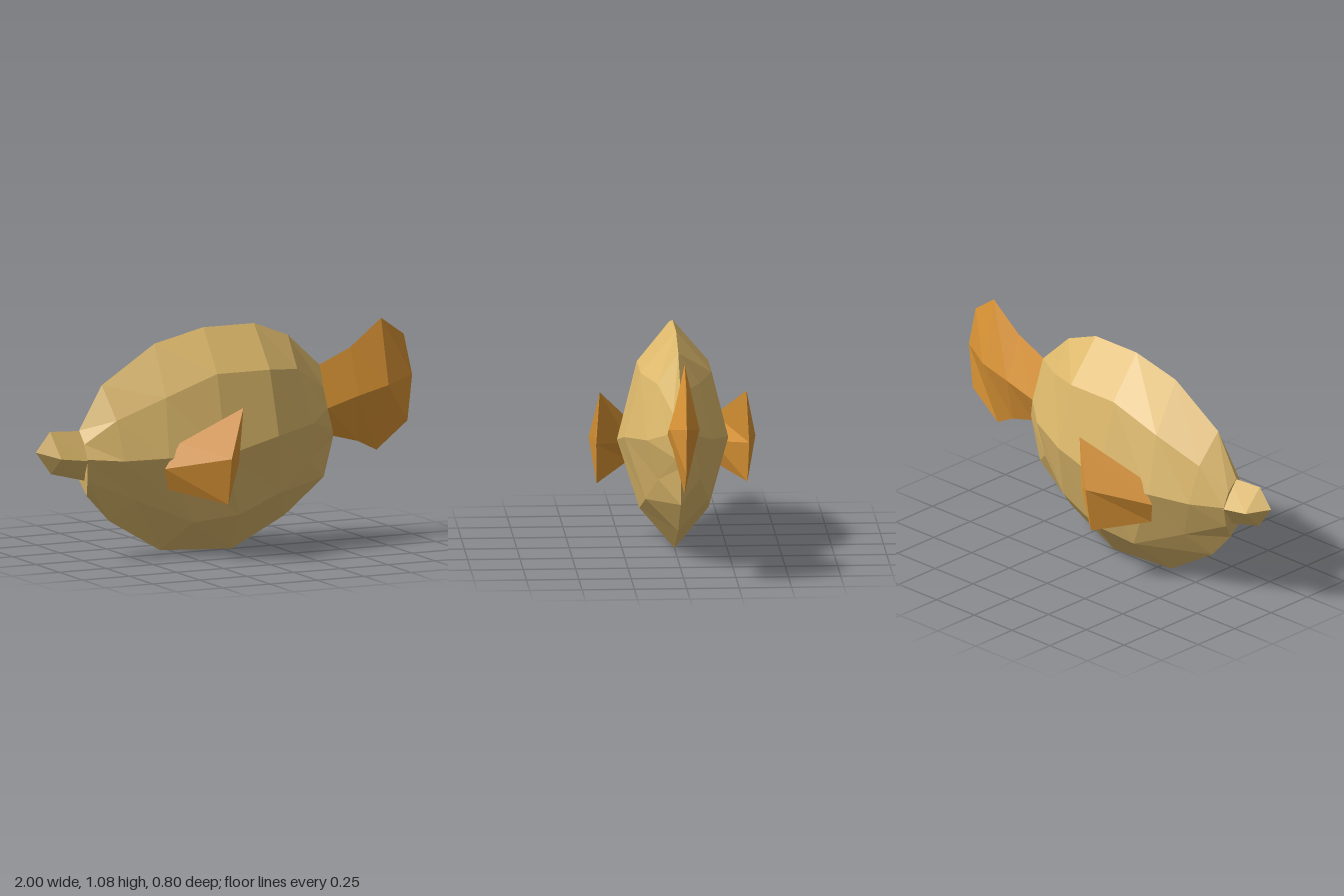
import * as THREE from 'three';

// Half a ring (top to bottom on the +z side) mirrored into a closed ring
function symmetricRing(half) {
  const other = half.slice(1, -1).reverse().map(([x, y, z]) => [x, y, -z]);
  return [...half, ...other];
}

// Skins a list of rings running towards +x and closes both ends
function loft(rings) {
  const pos = [];
  const tri = (a, b, c) => pos.push(...a, ...b, ...c);
  const centre = (r) => [0, 1, 2].map((k) => r.reduce((s, p) => s + p[k], 0) / r.length);
  const n = rings[0].length;
  const first = rings[0], last = rings[rings.length - 1];
  const c0 = centre(first), c1 = centre(last);
  for (let j = 0; j < n; j++) {
    const k = (j + 1) % n;
    for (let i = 0; i < rings.length - 1; i++) {
      const a = rings[i], b = rings[i + 1];
      tri(a[j], a[k], b[k]);
      tri(a[j], b[k], b[j]);
    }
    tri(first[k], first[j], c0);
    tri(last[j], last[k], c1);
  }
  const g = new THREE.BufferGeometry();
  g.setAttribute('position', new THREE.Float32BufferAttribute(pos, 3));
  g.computeVertexNormals();
  return g;
}

export function createModel() {
  const group = new THREE.Group();
  const sand = new THREE.MeshStandardMaterial({ name: 'sand', color: 0xdcb86b, flatShading: true });
  const orange = new THREE.MeshStandardMaterial({ name: 'orange', color: 0xdd9636, flatShading: true });
  const add = (name, rings, material) => {
    const mesh = new THREE.Mesh(loft(rings), material);
    mesh.name = name;
    group.add(mesh);
  };

  // Body: each section is top, shoulder, side, belly, keel
  add('body', [
    [[-0.77, 0.63, 0], [-0.765, 0.57, 0.05], [-0.765, 0.5, 0.082], [-0.75, 0.39, 0.05], [-0.73, 0.31, 0]],
    [[-0.65, 0.84, 0], [-0.62, 0.68, 0.1], [-0.6, 0.49, 0.15], [-0.52, 0.29, 0.1], [-0.61, 0.18, 0]],
    [[-0.37, 1.02, 0], [-0.38, 0.78, 0.145], [-0.4, 0.5, 0.22], [-0.24, 0.17, 0.155], [-0.34, 0.02, 0]],
    [[-0.11, 1.08, 0], [-0.12, 0.88, 0.17], [-0.12, 0.5, 0.265], [0, 0.19, 0.165], [0.04, 0, 0]],
    [[0.16, 1.08, 0], [0.16, 0.88, 0.17], [0.17, 0.57, 0.247], [0.23, 0.28, 0.15], [0.32, 0.14, 0]],
    [[0.34, 1.01, 0], [0.34, 0.86, 0.1], [0.4, 0.6, 0.155], [0.4, 0.41, 0.1], [0.53, 0.31, 0]],
    [[0.51, 0.85, 0], [0.51, 0.75, 0.035], [0.52, 0.65, 0.062], [0.565, 0.54, 0.025], [0.58, 0.5, 0]],
  ].map(symmetricRing), sand);

  // Snout, closing to a point
  add('snout', [
    [[-1, 0.54, 0], [-1, 0.54, 0], [-1, 0.54, 0]],
    [[-0.925, 0.635, 0], [-0.9, 0.51, 0.073], [-0.92, 0.43, 0]],
    [[-0.72, 0.625, 0], [-0.73, 0.49, 0.085], [-0.72, 0.38, 0]],
  ].map(symmetricRing), sand);

  // Tail fin, closing to a sharp rear edge
  add('tailFin', [
    [[0.5, 0.85, 0], [0.52, 0.65, 0.062], [0.575, 0.505, 0]],
    [[0.67, 0.925, 0], [0.68, 0.7, 0.07], [0.71, 0.47, 0]],
    [[0.835, 1.055, 0], [0.84, 0.74, 0.07], [0.81, 0.42, 0]],
    [[0.955, 0.97, 0], [1, 0.77, 0], [0.975, 0.55, 0]],
  ].map(symmetricRing), orange);

  // Side fins: top, outer, bottom, inner corners at root and trailing edge
  const fin = [
    [[-0.34, 0.57, 0.215], [-0.42, 0.45, 0.215], [-0.39, 0.345, 0.19], [-0.3, 0.45, 0.2]],
    [[-0.07, 0.74, 0.35], [-0.155, 0.505, 0.398], [-0.155, 0.28, 0.36], [-0.1, 0.48, 0.365]],
  ];
  add('leftFin', fin, orange);
  add('rightFin', fin.map((r) => r.map(([x, y, z]) => [x, y, -z]).reverse()), orange);
  group.children[3].name = 'frontSideFin';
  group.children[4].name = 'backSideFin';

  return group;
}
